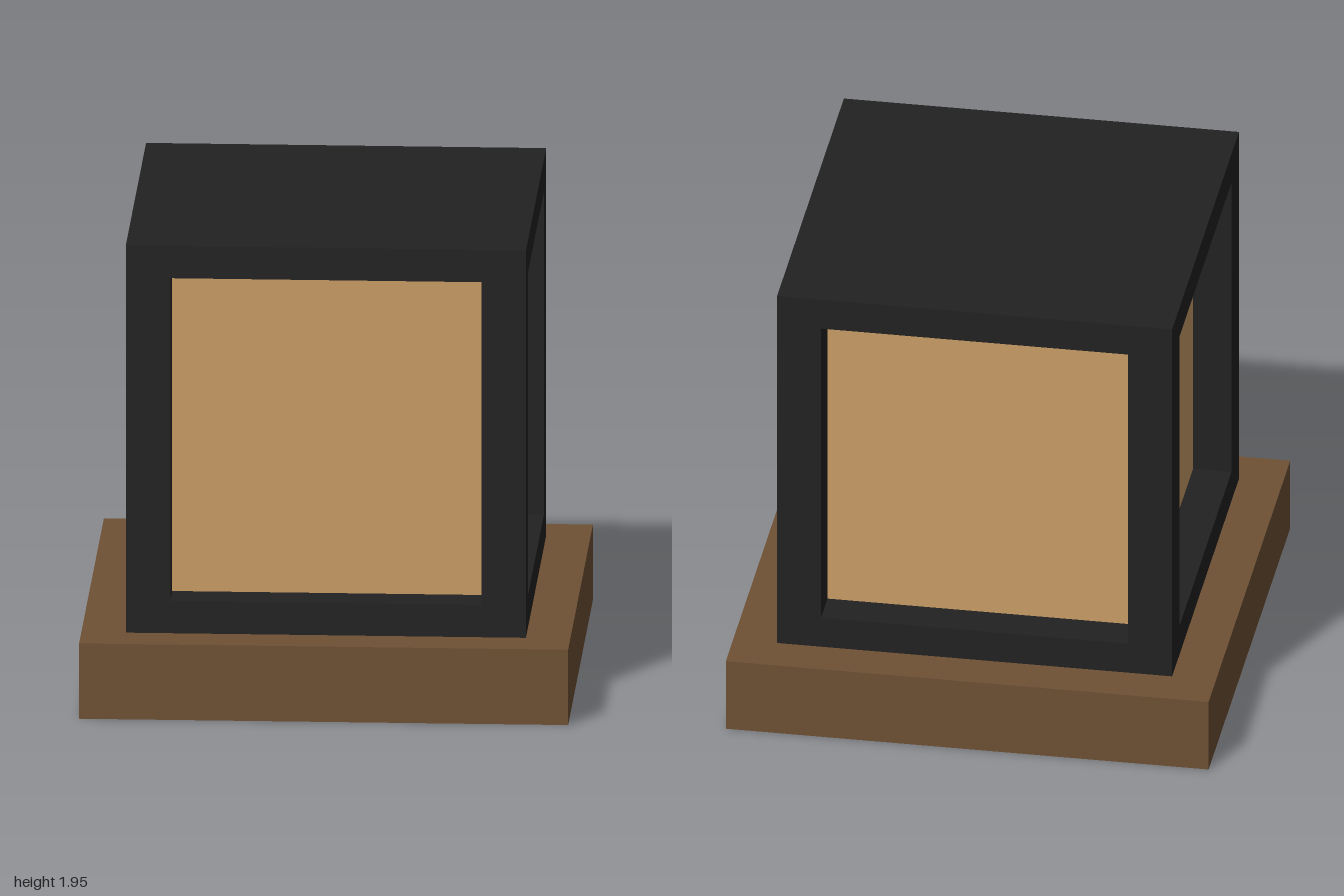
import * as THREE from 'three';

const U = 1 / 11; // design unit: the base is 22 units wide

export function createModel() {
  const wood = new THREE.MeshStandardMaterial({ color: 0x6f5135 });
  wood.name = 'brown wood';
  const black = new THREE.MeshStandardMaterial({ color: 0x222222 });
  black.name = 'black frame';
  const paper = new THREE.MeshStandardMaterial({ color: 0xca9e67 });
  paper.name = 'tan paper';

  const model = new THREE.Group();
  model.name = 'lantern';

  // Box given by size, centre and bottom height, all in design units
  function box(name, material, w, h, d, x, bottom, z) {
    const mesh = new THREE.Mesh(new THREE.BoxGeometry(w * U, h * U, d * U), material);
    mesh.name = name;
    mesh.position.set(x * U, (bottom + h / 2) * U, z * U);
    model.add(mesh);
  }

  // Wide wooden plinth
  box('base', wood, 22, 3.5, 22, 0, 0, 0);

  // Bottom and top of the frame
  box('lowerFrame', black, 18, 1.5, 18, 0, 3.5, 0);
  box('roof', black, 18, 1.5, 18, 0, 20, 0);

  // Corner posts
  for (const x of [-8, 8]) {
    for (const z of [-8, 8]) box('cornerPost', black, 2, 15, 2, x, 5, z);
  }

  // Recessed paper shade showing through all four openings
  box('paperShade', paper, 14.5, 15, 14.5, 0, 5, 0);

  return model;
}
